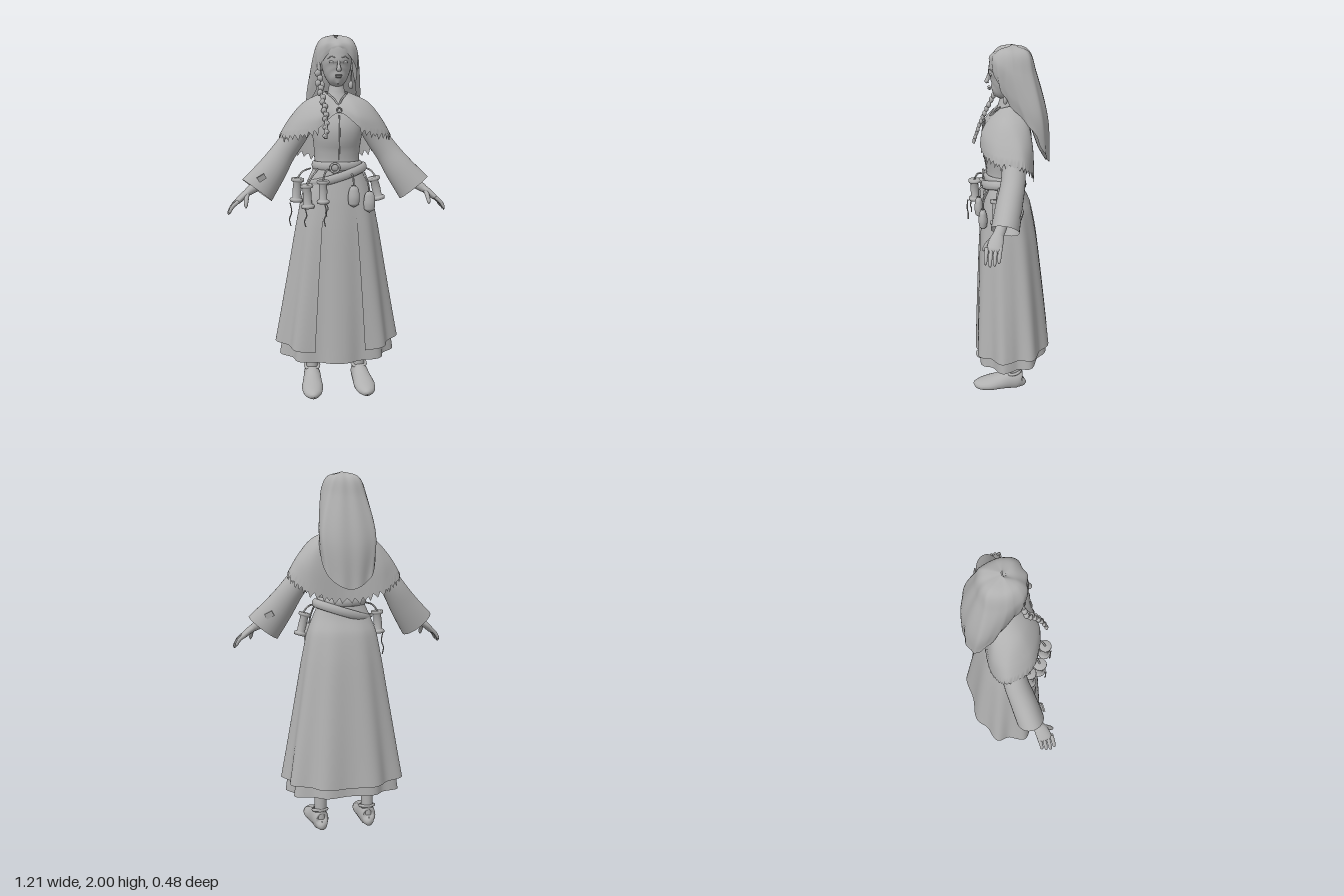
import * as THREE from 'three';

const V = (x, y, z) => new THREE.Vector3(x, y, z);
const clay = new THREE.MeshStandardMaterial({ color: 0xb0b0b0, side: THREE.DoubleSide });
clay.name = 'plain grey';

// Smooth grid surface; fn(u, v) gives a point, u runs around, v runs down
function grid(fn, nu, nv, closed = true) {
  const pos = [], idx = [], cols = closed ? nu : nu + 1;
  for (let j = 0; j <= nv; j++) for (let i = 0; i < cols; i++) pos.push(...fn(i / nu, j / nv).toArray());
  for (let j = 0; j < nv; j++) for (let i = 0; i < nu; i++) {
    const a = j * cols + i, b = j * cols + (i + 1) % cols;
    idx.push(a, a + cols, b, b, a + cols, b + cols);
  }
  const g = new THREE.BufferGeometry();
  g.setAttribute('position', new THREE.Float32BufferAttribute(pos, 3));
  g.setIndex(idx);
  g.computeVertexNormals();
  return g;
}

// Drape through half-side profiles (front to back), mirrored to both sides
function drape(half, nu, nv, tweak) {
  const mirrored = half.slice(1, -1).reverse().map(p => p.map(([x, y, z]) => [-x, y, z]));
  const curves = [...half, ...mirrored].map(p => new THREE.CatmullRomCurve3(p.map(q => V(...q))));
  let row = -1, ring;
  return grid((u, v) => {
    if (v !== row) { row = v; ring = new THREE.CatmullRomCurve3(curves.map(c => c.getPoint(v)), true); }
    const p = ring.getPoint(u);
    if (tweak) tweak(p, u, v);
    return p;
  }, nu, nv);
}

// Elliptical sections [x, y, z, r1, r2] swept along a smooth path
function limb(st, { ref = V(0, 0, 1), seg = 20, steps = 24, tweak } = {}) {
  const path = new THREE.CatmullRomCurve3(st.map(s => V(s[0], s[1], s[2])));
  const rad = new THREE.CatmullRomCurve3(st.map(s => V(s[3], s[4], 0)));
  return grid((u, v) => {
    const d = path.getTangent(v), r = rad.getPoint(v), a = u * Math.PI * 2;
    const s = V().crossVectors(ref, d).normalize(), t = V().crossVectors(d, s);
    const p = path.getPoint(v).addScaledVector(s, Math.cos(a) * Math.max(r.x, 0.0005))
      .addScaledVector(t, -Math.sin(a) * Math.max(r.y, 0.0005));
    if (tweak) tweak(p);
    return p;
  }, seg, steps);
}

const cord = (pts, r) => new THREE.TubeGeometry(new THREE.CatmullRomCurve3(pts.map(p => V(...p))), 16, r, 6);
const ball = (x, y, z, a, b, c) => new THREE.SphereGeometry(1, 20, 14).scale(a, b, c).translate(x, y, z);

// Skirt rows: y, half width, front z, back z
const rows = [[1.3, .125, .125, -.062], [1.22, .16, .14, -.08], [1.13, .195, .155, -.118], [.97, .225, .172, -.15],
  [.6, .285, .192, -.195], [.28, .335, .205, -.228]];
function skirt(hem, grow, open) {
  const a = new THREE.CatmullRomCurve3(rows.map(r => V(r[1], r[2], r[3])));
  const h = new THREE.CatmullRomCurve3(rows.map(r => V(r[0], 0, 0)));
  return grid((u, v) => {
    const th = open + u * (Math.PI * 2 - 2 * open), r = a.getPoint(v);
    const s = Math.sin(th), c = Math.cos(th), e = x => Math.sign(x) * Math.abs(x) ** .88;
    const k = 1 + grow * v + .055 * v * v * Math.cos(9 * th);
    const mid = (r.y + r.z) / 2, dep = (r.y - r.z) / 2;
    const y0 = h.getPoint(v).x, y = 1.3 - (1.3 - y0) * (1.3 - hem(th)) / 1.02;
    return V(r.x * k * e(s), y, mid + dep * k * e(c));
  }, 144, 28, open === 0);
}

export function createModel() {
  const model = new THREE.Group();
  const add = (name, geo, parent = model) => {
    const m = new THREE.Mesh(geo, clay);
    m.name = name;
    parent.add(m);
    return m;
  };

  // Head, face and neck
  add('head', limb([[0, 1.985, .005, .002, .002], [0, 1.965, .005, .06, .065], [0, 1.92, .008, .088, .092],
    [0, 1.86, .01, .083, .098], [0, 1.82, .018, .076, .09], [0, 1.78, .04, .06, .07],
    [0, 1.755, .065, .036, .042], [0, 1.742, .08, .002, .002]], { seg: 28, steps: 30 }));
  add('neck', limb([[0, 1.82, -.005, .044, .045], [0, 1.74, .005, .04, .042], [0, 1.69, .01, .05, .048], [0, 1.62, .015, .1, .07]]));
  add('nose', limb([[0, 1.865, .102, .006, .004], [0, 1.83, .11, .009, .009], [0, 1.815, .114, .014, .012], [0, 1.806, .106, .002, .002]], { steps: 12 }));
  add('upperLip', ball(0, 1.786, .104, .02, .005, .009));
  add('lowerLip', ball(0, 1.777, .102, .016, .006, .009));
  for (const s of [1, -1]) {
    add('eye', ball(s * .035, 1.855, .094, .016, .007, .007));
    add('eyebrow', cord([[s * .016, 1.876, .104], [s * .037, 1.882, .097], [s * .056, 1.872, .084]], .0025));
    add('ear', ball(s * .083, 1.835, .0, .01, .026, .018));
    add('earring', ball(s * .078, 1.735, .02, .013, .022, .012));
    add('earringChain', cord([[s * .084, 1.81, .01], [s * .08, 1.78, .018], [s * .078, 1.75, .02]], .003));
  }

  // Hair: one draped sheet, parted at the front and long at the back
  add('longHair', drape([
    [[0, 1.985, -.01], [0, 1.978, .045], [0, 1.955, .085], [0, 1.94, .098], [0, 1.93, .1]],
    [[.01, 1.996, -.01], [.06, 1.98, .05], [.088, 1.94, .07], [.098, 1.88, .068], [.098, 1.83, .06]],
    [[.012, 2.0, -.01], [.085, 1.975, .01], [.118, 1.9, .01], [.115, 1.8, .015], [.105, 1.72, .0]],
    [[.01, 2.0, -.012], [.085, 1.97, -.03], [.122, 1.88, -.04], [.145, 1.72, -.075], [.15, 1.6, -.115]],
    [[.008, 2.0, -.015], [.06, 1.97, -.09], [.095, 1.87, -.115], [.14, 1.66, -.165], [.115, 1.45, -.19]],
    [[0, 2.0, -.015], [0, 1.965, -.1], [0, 1.86, -.14], [0, 1.62, -.205], [0, 1.385, -.215]],
  ], 120, 36, (p, u, v) => { p.z += .004 * v * Math.cos(u * 88); }));
  add('innerHair', limb([[0, 1.86, -.05, .09, .06], [0, 1.72, -.1, .125, .05], [0, 1.6, -.145, .135, .04],
    [0, 1.48, -.175, .1, .025], [0, 1.4, -.2, .03, .008]], { seg: 28 }));
  // Plaited lock over the right shoulder
  const plait = [[-.098, 1.85, .055], [-.1, 1.74, .075], [-.082, 1.64, .125], [-.075, 1.55, .165], [-.08, 1.46, .195]];
  add('plait', cord(plait, .009));
  const plaitPath = new THREE.CatmullRomCurve3(plait.map(p => V(...p)));
  for (let i = 0; i < 15; i++) {
    const p = plaitPath.getPoint(.12 + i * .06), r = .017 - .0004 * i;
    add('plaitKnot', ball(p.x + (i % 2 ? .006 : -.006), p.y, p.z, r, r * 1.1, r * .8));
  }

  // Bodice
  add('bodice', limb([[0, 1.66, .005, .07, .05], [0, 1.61, .01, .16, .075], [0, 1.54, .03, .15, .1],
    [0, 1.48, .04, .137, .108], [0, 1.4, .032, .127, .098], [0, 1.33, .03, .122, .092], [0, 1.25, .03, .145, .105]], { seg: 32 }));
  add('frontSeam', cord([[0, 1.58, .126], [0, 1.49, .15], [0, 1.42, .136], [0, 1.34, .123]], .003));

  // Shoulder cape with a torn hem
  const torn = [0, .9, .2, .6, .1, 1, .45, .0, .75, .3];
  add('cape', drape([
    [[0, 1.665, .058], [0, 1.64, .09], [0, 1.615, .115], [0, 1.59, .132]],
    [[.05, 1.685, .045], [.085, 1.635, .1], [.11, 1.57, .14], [.125, 1.505, .148]],
    [[.062, 1.695, .015], [.165, 1.642, .04], [.225, 1.56, .062], [.275, 1.47, .065]],
    [[.062, 1.7, -.01], [.175, 1.645, -.02], [.255, 1.55, -.055], [.31, 1.455, -.07]],
    [[.05, 1.7, -.03], [.135, 1.64, -.085], [.2, 1.52, -.115], [.215, 1.38, -.125]],
    [[0, 1.7, -.04], [0, 1.64, -.085], [0, 1.5, -.11], [0, 1.33, -.12]],
  ], 160, 18, (p, u, v) => {
    const side = Math.min(u, 1 - u);
    if (v === 1 && side > .09) p.y -= .038 * torn[Math.round(side * 160) % 10];
  }));
  add('capeCollar', cord([[-.05, 1.69, .045], [-.02, 1.66, .08], [0, 1.635, .1], [.02, 1.66, .08], [.05, 1.69, .045]], .005));
  add('capeClasp', new THREE.TorusGeometry(.012, .004, 8, 16).translate(0, 1.605, .13));

  // Arms: flared sleeves, forearms and hands
  for (const s of [1, -1]) {
    const arm = new THREE.Group();
    arm.name = s > 0 ? 'leftArm' : 'rightArm';
    model.add(arm);
    const m = list => list.map(([x, ...r]) => [s * x, ...r]);
    add('sleeve', limb(m([[.1, 1.61, -.005, .045, .055], [.165, 1.56, -.012, .068, .065], [.225, 1.46, -.022, .064, .06],
      [.29, 1.37, -.02, .068, .062], [.36, 1.27, .0, .083, .068], [.44, 1.168, .02, .1, .072]]), { seg: 28 }), arm);
    add('forearm', limb(m([[.34, 1.3, -.005, .035, .035], [.44, 1.2, .035, .03, .028], [.49, 1.165, .055, .022, .028]])), arm);
    add('palm', limb(m([[.475, 1.175, .05, .02, .025], [.51, 1.15, .062, .019, .036], [.545, 1.12, .072, .016, .038], [.557, 1.108, .075, .008, .03]])), arm);
    for (let i = 0; i < 4; i++) {
      const z = .042 + i * .022, l = [.85, 1, 1.05, .92][i];
      add('finger', limb(m([[.54, 1.125, z, .011, .011], [.54 + .035 * l, 1.125 - .03 * l, z + .004, .01, .01],
        [.54 + .053 * l, 1.125 - .062 * l, z + .006, .008, .008], [.54 + .053 * l, 1.125 - .074 * l, z + .006, .001, .001]]), { seg: 10, steps: 10 }), arm);
    }
    add('thumb', limb(m([[.495, 1.155, .078, .013, .014], [.5, 1.125, .108, .012, .012], [.502, 1.1, .124, .009, .009], [.502, 1.088, .128, .001, .001]]), { seg: 10, steps: 10 }), arm);
    const patch = add('sleevePatch', new THREE.BoxGeometry(.045, .03, .008), arm);
    patch.position.set(s * .415, 1.245, s > 0 ? -.063 : .088);
    patch.rotation.set(s > 0 ? -.15 : .15, -s * .2, -s * .5);
  }

  // Skirts: full underskirt and an overskirt open at the front
  add('underskirt', skirt(th => .222 - .017 * Math.cos(th), -.06, 0));
  add('overskirt', skirt(th => .29 + .012 * Math.cos(2 * th + Math.PI) - .012 * Math.cos(th), .015, .4));

  // Belts and buckle
  const belt = (name, rx, rz, y, tilt) => {
    const b = add(name, new THREE.TorusGeometry(1, .1, 8, 48).rotateX(Math.PI / 2).scale(rx, .24, rz));
    b.position.set(0, y, .03);
    b.rotation.z = tilt;
  };
  belt('waistBelt', .127, .1, 1.305, 0);
  belt('slantedBelt', .158, .114, 1.25, .3);
  add('buckle', new THREE.TorusGeometry(.024, .006, 8, 20).translate(-.025, 1.3, .142));

  // Thread spools hanging from the belt
  const profile = [[0, .065], [.034, .065], [.036, .055], [.034, .048], [.022, .042], [.024, 0], [.022, -.042], [.034, -.048], [.036, -.055], [.034, -.065], [0, -.065]];
  const spool = new THREE.LatheGeometry(profile.map(p => new THREE.Vector2(...p)).reverse(), 20);
  for (const [x, y, z, tilt, k] of [[-.225, 1.175, .075, -.08, 1], [-.175, 1.15, .145, .05, 1], [-.095, 1.18, .195, 0, .95], [.215, 1.175, .065, .25, 1]]) {
    const p = add('spool', spool);
    p.position.set(x, y, z);
    p.rotation.z = tilt;
    p.scale.setScalar(k);
    add('spoolCord', cord([[x, y + .06, z], [x * .85, y + .1, z * .9], [x * .65, 1.29, z * .7]], .005));
  }
  for (const [x, y, z, l] of [[-.265, 1.11, .1, .13], [-.19, 1.09, .18, .1], [-.09, 1.12, .235, .12], [-.08, 1.12, .215, .07]])
    add('looseThread', cord([[x, y, z], [x + .008, y - l * .4, z + .004], [x - .004, y - l * .7, z], [x + .003, y - l, z]], .0035));

  // Pouches
  for (const [x, y, z] of [[.075, 1.14, .165], [.165, 1.105, .14]]) {
    add('pouch', limb([[x, y + .065, z, .012, .01], [x, y + .045, z, .026, .018], [x, y, z, .032, .024], [x, y - .035, z, .028, .02], [x, y - .052, z, .002, .002]]));
    add('pouchCord', cord([[x, y + .06, z], [x * .95, y + .11, z - .005], [x * .85, 1.27, z - .03]], .005));
  }

  // Legs and shoes
  for (const s of [1, -1]) {
    add('leg', limb([[s * .11, .75, -.01, .055, .055], [s * .12, .45, -.03, .045, .05], [s * .135, .25, -.035, .034, .038], [s * .14, .06, -.035, .034, .04]]));
    add('shoe', limb([[s * .138, .05, -.086, .003, .003], [s * .138, .045, -.08, .032, .045], [s * .14, .05, -.05, .046, .062], [s * .142, .05, .0, .05, .062],
      [s * .146, .04, .05, .055, .05], [s * .151, .03, .11, .061, .04], [s * .153, .022, .17, .05, .03], [s * .152, .018, .205, .022, .018], [s * .152, .015, .212, .002, .002]],
      { ref: V(0, 1, 0), tweak: p => { p.y = Math.max(p.y, 0); } }));
    add('shoeCuff', new THREE.TorusGeometry(.04, .009, 8, 24).rotateX(Math.PI / 2 + .25).translate(s * .14, .105, -.03));
  }
  return model;
}
